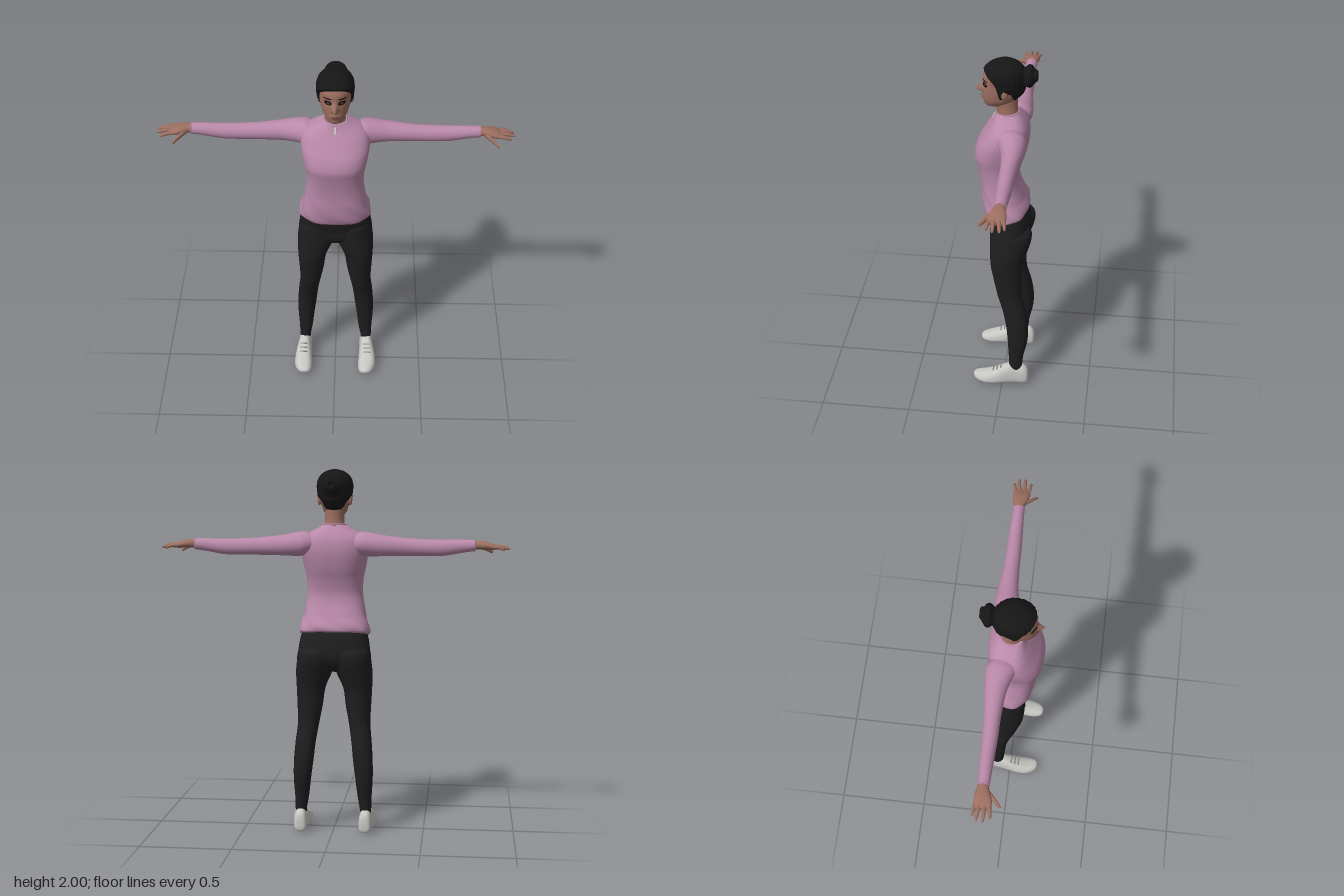
import * as THREE from 'three';

const mat = (name, color) => Object.assign(new THREE.MeshStandardMaterial({ color }), { name });

// Smooth spline through table rows; s runs from 0 to rows.length - 1
function sample(rows, s) {
  const last = rows.length - 1;
  const i = Math.min(Math.floor(s), last - 1), t = s - i;
  const [a, b, c, d] = [i - 1, i, i + 1, i + 2].map(k => rows[Math.min(Math.max(k, 0), last)]);
  return b.map((_, k) => b[k] + 0.5 * t * (c[k] - a[k] + t * (2 * a[k] - 5 * b[k] + 4 * c[k] - d[k]
    + t * (3 * (b[k] - c[k]) + d[k] - a[k]))));
}

// Closed skin over rings: point(v, angle) with v from 0 to 1
function surface(point, steps, n) {
  const pos = [], idx = [];
  for (let i = 0; i <= steps; i++)
    for (let j = 0; j < n; j++) pos.push(...point(i / steps, j / n * Math.PI * 2));
  for (let i = 0; i < steps; i++)
    for (let j = 0; j < n; j++) {
      const a = i * n + j, b = i * n + (j + 1) % n;
      idx.push(a, b, a + n, b, b + n, a + n);
    }
  for (const ring of [0, steps]) {
    const mid = [0, 0, 0], centre = pos.length / 3;
    for (let j = 0; j < n; j++) for (let k = 0; k < 3; k++) mid[k] += pos[(ring * n + j) * 3 + k] / n;
    pos.push(...mid);
    for (let j = 0; j < n; j++) {
      const a = ring * n + j, b = ring * n + (j + 1) % n;
      idx.push(...(ring ? [a, b, centre] : [b, a, centre]));
    }
  }
  // Turn the faces outward whichever way the rings run
  const P = i => new THREE.Vector3().fromArray(pos, i * 3), origin = P(pos.length / 3 - 1);
  let volume = 0;
  for (let i = 0; i < idx.length; i += 3) {
    const [a, b, c] = [0, 1, 2].map(k => P(idx[i + k]).sub(origin));
    volume += a.dot(b.cross(c));
  }
  if (volume < 0) idx.reverse();
  const g = new THREE.BufferGeometry();
  g.setAttribute('position', new THREE.Float32BufferAttribute(pos, 3));
  g.setIndex(idx);
  g.computeVertexNormals();
  return g;
}

// Loft of superellipse rings; map(row, s, c) places each ring point
function loft(rows, map, p = 2, n = 36, per = 6) {
  const pow = v => Math.sign(v) * Math.abs(v) ** (2 / p);
  return surface((v, a) => map(sample(rows, v * (rows.length - 1)), pow(Math.sin(a)), pow(Math.cos(a)), a),
    (rows.length - 1) * per, n);
}

// Upright rows: [y, centre x, half width, front z, back z]
const upright = (side = 1) => ([y, cx, hw, f, b], s, c) => [side * (cx + hw * s), y, (f + b) / 2 + (f - b) / 2 * c];
// Sideways rows: [x, centre y, radius y, centre z, radius z]
const sideways = side => ([x, cy, ry, cz, rz], s, c) => [side * x, cy + ry * s, cz + rz * c];

// Head rows: [y, half width, front z, back z]
const HEAD = [[1.732, .02, .1, .04], [1.745, .042, .114, -.01], [1.77, .062, .118, -.05], [1.8, .073, .12, -.074],
  [1.83, .08, .12, -.088], [1.87, .084, .12, -.096], [1.91, .088, .119, -.097], [1.945, .082, .104, -.088],
  [1.968, .066, .08, -.068], [1.982, .044, .055, -.042], [1.988, .022, .032, -.018], [1.99, .001, .008, .006]];
const bump = (v, centre, width) => Math.exp(-(((v - centre) / width) ** 2));

function headPoint(y, a) {
  let i = 0;
  while (i < HEAD.length - 2 && y > HEAD[i + 1][0]) i++;
  const [, hw, f, b] = sample(HEAD, i + (y - HEAD[i][0]) / (HEAD[i + 1][0] - HEAD[i][0]));
  const c = Math.cos(a), x = hw * Math.sin(a);
  let z = (f + b) / 2 + (f - b) / 2 * c;
  if (c > 0) {
    z += .036 * bump(x, 0, .014) * bump(y, 1.825, y > 1.825 ? .03 : .013);  // nose
    z += .008 * bump(x, 0, .024) * bump(y, 1.785, .014);                   // mouth
    z -= .007 * bump(Math.abs(x), .034, .02) * bump(y, 1.865, .016);       // eye sockets
  }
  return [x, y, z];
}

// Thin oval that follows the face
function facePatch(cx, cy, rx, ry, lift) {
  return surface((v, t) => {
    const x = cx + rx * v * Math.cos(t), y = cy + ry * v * Math.sin(t);
    const p = headPoint(y, Math.asin(x / .084));
    p[2] += lift;
    return p;
  }, 6, 24);
}

export function createModel() {
  const model = new THREE.Group();
  const skin = mat('skin', 0x9c6e5f), pink = mat('pinkFabric', 0xb989a9), black = mat('blackFabric', 0x1e1e1f);
  const hairMat = mat('hair', 0x161617), white = mat('shoeWhite', 0xc6c6c3), grey = mat('laceGrey', 0x8f8f8e);
  const dark = mat('lashes', 0x15100f), iris = mat('iris', 0x4a3a34), lip = mat('lips', 0x84534c);
  const add = (name, geometry, material, x = 0, y = 0, z = 0) => {
    const m = new THREE.Mesh(geometry, material);
    m.name = name;
    m.position.set(x, y, z);
    model.add(m);
    return m;
  };

  // Head, face and neck
  add('head', surface((v, a) => headPoint(1.732 + .258 * v, a), 90, 96), skin);
  add('neck', loft([[1.66, 0, .066, .055, -.072], [1.7, 0, .056, .05, -.066], [1.74, 0, .052, .055, -.062],
    [1.8, 0, .054, .06, -.062]], upright()), skin);
  add('lips', facePatch(0, 1.784, .024, .008, .002), lip);
  for (const s of [-1, 1]) {
    add('eyeLashes', facePatch(s * .036, 1.863, .02, .012, .002), dark);
    add('iris', facePatch(s * .036, 1.862, .008, .006, .004), iris);
    add('eyebrow', facePatch(s * .038, 1.89, .022, .004, .002), dark);
    add('ear', new THREE.SphereGeometry(1, 16, 12), skin, s * .084, 1.835, 0).scale.set(.012, .03, .018);
  }

  // Hair shell, rising from the hairline to the crown
  const HAIRLINE = [[1.932], [1.93], [1.915], [1.885], [1.8], [1.835], [1.795], [1.78], [1.775]];
  add('hair', surface((v, a) => {
    const around = Math.min(a, Math.PI * 2 - a) / Math.PI;
    const low = sample(HAIRLINE, around * 8)[0];
    const p = headPoint(low + (1.99 - low) * Math.sin(v * Math.PI / 2), a);
    const lift = Math.min(1, v * 7) * (.012 + .0015 * Math.sin(22 * a)) * (1 - v * v);
    return [p[0] + lift * Math.sin(a), p[1] + .011 * v * v, p[2] + lift * Math.cos(a)];
  }, 40, 96), hairMat);

  // Bun with coiled strands
  add('bun', new THREE.SphereGeometry(.05, 24, 16), hairMat, 0, 1.91, -.12).scale.set(1.1, 1.05, .85);
  add('bunCoil', new THREE.TorusGeometry(.04, .021, 12, 32), hairMat, 0, 1.91, -.123);
  add('bunTwist', new THREE.TorusGeometry(.02, .013, 10, 24), hairMat, .006, 1.915, -.154);

  // Jumper body: loose wrinkles and a hem that is higher at the back
  const body = [[1.075, 0, .186, .096, -.122], [1.09, 0, .195, .106, -.13], [1.13, 0, .19, .118, -.128],
    [1.2, 0, .173, .128, -.106], [1.27, 0, .16, .131, -.08], [1.33, 0, .153, .138, -.073], [1.4, 0, .156, .152, -.088],
    [1.46, 0, .168, .164, -.108], [1.52, 0, .179, .15, -.122], [1.57, 0, .184, .122, -.127], [1.62, 0, .175, .092, -.121],
    [1.652, 0, .145, .072, -.106], [1.678, 0, .098, .06, -.088], [1.7, 0, .06, .053, -.07]];
  add('jumperBody', loft(body, (r, s, c, a) => {
    const loose = Math.max(0, (1.32 - r[0]) / .24), low = Math.max(0, (1.2 - r[0]) / .12);
    const k = 1 + .018 * loose * Math.sin(7 * a + r[0] * 45);
    const [x, y, z] = upright()(r, s, c);
    return [x * k, y + low * (.022 - .022 * c), z * k];
  }, 2.5, 72), pink);
  const collar = add('collar', new THREE.TorusGeometry(.06, .006, 8, 40), pink, 0, 1.698, -.009);
  collar.rotation.x = Math.PI / 2 + .08;
  add('collarZip', new THREE.BoxGeometry(.012, .035, .006), white, 0, 1.668, .067).rotation.x = -.35;

  // Hips
  add('hips', loft([[1.14, 0, .165, .08, -.105], [1.08, 0, .188, .09, -.13], [1.0, 0, .2, .073, -.14],
    [.95, 0, .2, .068, -.13], [.915, 0, .15, .05, -.105], [.895, 0, .08, .02, -.07]], upright(), 2.4), black);

  const arm = [[.09, 1.6, .045, -.035, .06], [.15, 1.599, .064, -.044, .079], [.2, 1.595, .065, -.054, .07],
    [.28, 1.589, .056, -.062, .056], [.4, 1.583, .048, -.06, .044], [.5, 1.58, .045, -.059, .041],
    [.6, 1.58, .043, -.06, .038], [.7, 1.589, .035, -.06, .033], [.765, 1.593, .03, -.06, .031]];
  const palm = [[.73, 1.594, .022, -.06, .024], [.78, 1.595, .022, -.06, .03], [.82, 1.593, .021, -.057, .042],
    [.855, 1.587, .017, -.054, .046], [.885, 1.582, .009, -.054, .042]];
  // Digits: base x, y, z, tip x, y, z, radius
  const digits = [[.86, 1.585, -.091, .922, 1.571, -.1, .009], [.86, 1.587, -.068, .947, 1.574, -.078, .01],
    [.86, 1.587, -.043, .95, 1.575, -.044, .01], [.86, 1.584, -.02, .928, 1.572, -.01, .01],
    [.785, 1.587, -.045, .862, 1.551, .032, .014]];
  const leg = [[1.03, .1, .09, .075, -.13], [1.0, .101, .1, .076, -.152], [.95, .104, .102, .076, -.15],
    [.89, .112, .1, .075, -.132], [.8, .13, .08, .07, -.107], [.7, .135, .07, .052, -.103], [.6, .143, .059, .03, -.106],
    [.5, .156, .056, 0, -.13], [.4, .165, .054, -.02, -.145], [.3, .172, .048, -.03, -.143], [.2, .175, .039, -.036, -.122],
    [.13, .18, .032, -.04, -.115], [.1, .18, .03, -.042, -.112]];
  // Shoe rows: [z, centre x, half width, bottom y, top y]
  const shoe = [[-.152, .178, .015, .025, .06], [-.145, .179, .033, .006, .1], [-.12, .18, .041, 0, .125],
    [-.08, .181, .043, 0, .134], [-.04, .184, .046, 0, .131], [0, .187, .051, 0, .116], [.05, .189, .057, .001, .088],
    [.1, .187, .057, .004, .068], [.14, .182, .046, .012, .057], [.16, .179, .03, .02, .05], [.168, .178, .01, .03, .042]];

  for (const s of [-1, 1]) {
    add('sleeve', loft(arm, sideways(s)), pink);
    const cuff = add('cuff', new THREE.TorusGeometry(.029, .004, 8, 28), pink, s * .763, 1.593, -.06);
    cuff.rotation.y = Math.PI / 2;
    add('palm', loft(palm, sideways(s), 2.3), skin);
    for (const [x0, y0, z0, x1, y1, z1, r] of digits) {
      const rows = [[0, .9], [.3, 1], [.6, .95], [.88, .75], [.97, .45], [1, .1]].map(([t, k]) =>
        [x0 + (x1 - x0) * t, y0 + (y1 - y0) * t + .006 * Math.sin(t * Math.PI), r * k, z0 + (z1 - z0) * t, r * k]);
      add('finger', loft(rows, sideways(s), 2, 14, 3), skin);
    }
    add('trouserLeg', loft(leg, upright(s), 2.15), black);

    // Shoe, narrower towards its top
    add('shoe', loft(shoe, ([z, cx, hw, low, top], u, v) =>
      [s * (cx + hw * u * (1 - .14 * (v + 1))), (low + top) / 2 + (top - low) / 2 * v, z], 2.6), white);
    for (const [z, y] of [[.008, .113], [.03, .101], [.052, .089]]) {
      const lace = add('lace', new THREE.CapsuleGeometry(.004, .036, 4, 8), grey, s * .188, y, z);
      lace.rotation.z = Math.PI / 2;
    }
  }
  return model;
}
